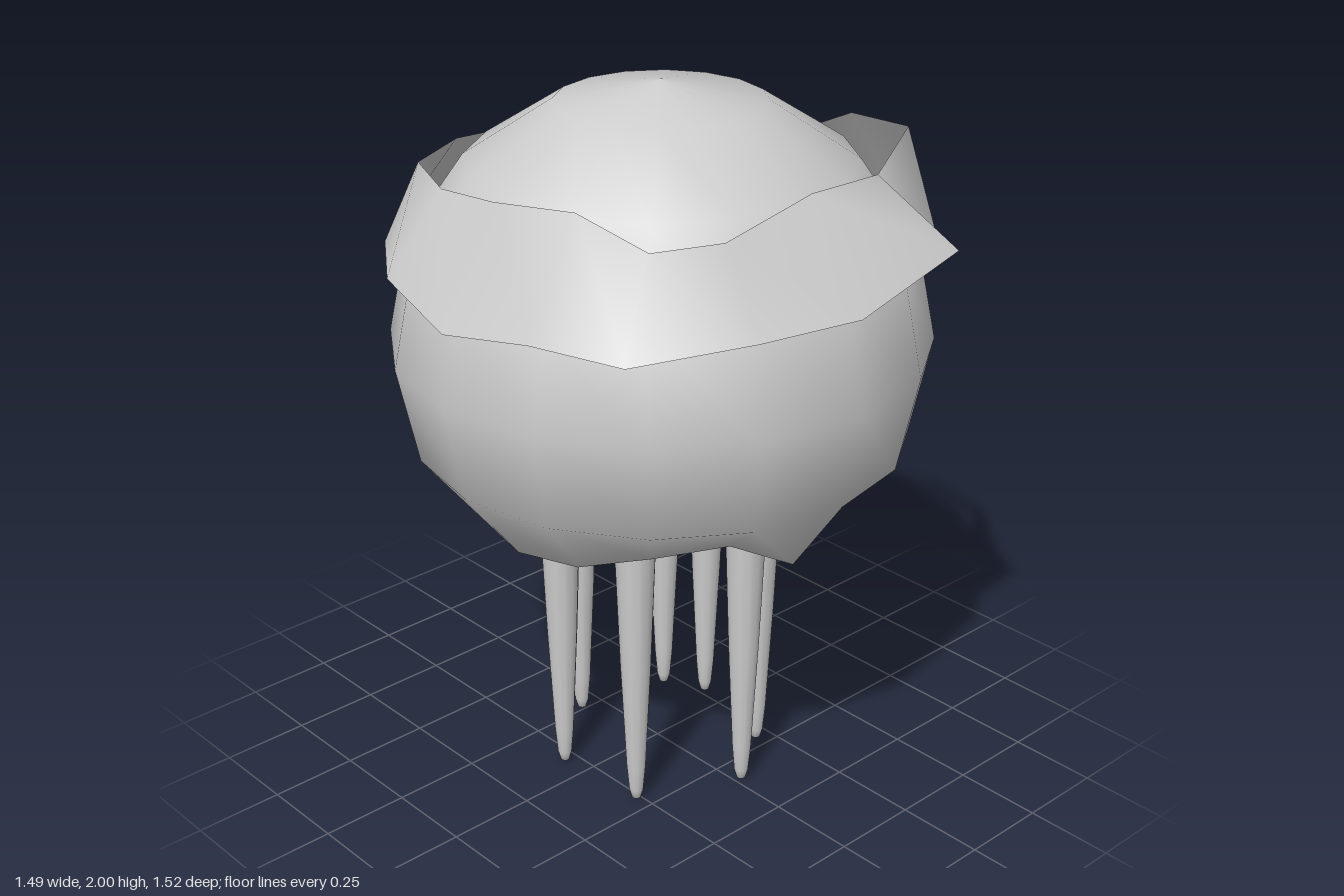
import * as THREE from 'three';

const SIDES = 16;
const CX = -0.015, CZ = 0.03, CY = 1.3;

// Smooth closed band through rings of points, listed from top to bottom
function loft(rings) {
  const index = [];
  for (let i = 0; i < rings.length - 1; i++) {
    for (let j = 0; j < SIDES; j++) {
      const k = (j + 1) % SIDES;
      const a = i * SIDES + j, b = a + SIDES, c = (i + 1) * SIDES + k, d = i * SIDES + k;
      index.push(a, b, c, a, c, d);
    }
  }
  const geometry = new THREE.BufferGeometry();
  geometry.setAttribute('position', new THREE.Float32BufferAttribute(rings.flat(2), 3));
  geometry.setIndex(index);
  geometry.computeVertexNormals();
  return geometry;
}

// Ring around the bell axis; angle 0 faces the front and turns towards +x
function ring(radius, heightAt) {
  return Array.from({ length: SIDES }, (_, j) => {
    const a = (j / SIDES) * Math.PI * 2;
    return [CX + radius * Math.sin(a), heightAt(j), CZ + radius * Math.cos(a)];
  });
}

export function createModel() {
  const model = new THREE.Group();
  model.name = 'jellyfish';
  const skin = new THREE.MeshStandardMaterial({ color: 0xcccccc });
  skin.name = 'pale grey';
  const thinSkin = skin.clone();
  thinSkin.side = THREE.DoubleSide;

  const add = (name, geometry, material = skin, parent = model) => {
    const mesh = new THREE.Mesh(geometry, material);
    mesh.name = name;
    parent.add(mesh);
    return mesh;
  };

  // Bell: a sphere open below with an uneven rim, and an inner wall
  const rim = [0.80, 0.89, 0.86, 0.86, 0.89, 0.86, 0.86, 0.89,
    0.83, 0.85, 0.87, 0.86, 0.82, 0.84, 0.89, 0.91];
  const wall = (inset) => {
    const rings = [];
    for (let i = 0; i <= 5; i++) {
      const t = (i * Math.PI) / 8;
      rings.push(ring((0.73 - inset) * Math.sin(t), () => CY + (0.7 - inset) * Math.cos(t)));
    }
    rings.push(ring(0.51 - inset, (j) => rim[j] + inset * 0.2));
    return rings;
  };
  const outer = wall(0), inner = wall(0.045);
  const bell = new THREE.Group();
  bell.name = 'bell';
  model.add(bell);
  add('bellOuter', loft(outer), skin, bell);
  add('bellInner', loft([...inner].reverse()), skin, bell);
  add('bellRim', loft([outer[6], inner[6]]), skin, bell);

  // Frill: loose, uneven skirt round the upper bell
  const frillTop = [
    [-0.02, 1.83, 0.57], [0.25, 1.81, 0.54], [0.44, 1.88, 0.47], [0.51, 1.845, 0.21],
    [0.53, 1.76, 0.03], [0.50, 1.76, -0.24], [0.39, 1.85, -0.38], [0.24, 1.835, -0.49],
    [-0.02, 1.76, -0.52], [-0.28, 1.78, -0.49], [-0.46, 1.77, -0.42], [-0.53, 1.76, -0.23],
    [-0.57, 1.80, 0.03], [-0.53, 1.83, 0.29], [-0.46, 1.76, 0.47], [-0.28, 1.76, 0.54],
  ];
  const frillBottom = [
    [-0.01, 1.55, 0.74], [0.34, 1.64, 0.74], [0.50, 1.55, 0.55], [0.66, 1.55, 0.30],
    [0.74, 1.49, 0.03], [0.67, 1.55, -0.25], [0.50, 1.55, -0.49], [0.26, 1.59, -0.65],
    [-0.02, 1.55, -0.76], [-0.30, 1.57, -0.65], [-0.53, 1.55, -0.49], [-0.69, 1.55, -0.26],
    [-0.74, 1.50, 0.03], [-0.69, 1.54, 0.30], [-0.60, 1.53, 0.54], [-0.30, 1.55, 0.68],
  ];
  add('frill', loft([frillTop, frillBottom]), thinSkin);

  // Tentacles: tapered, round at both ends
  const profile = [[0, 0.005], [0.012, 0.012], [0.02, 0.04], [0.027, 0.12], [0.043, 0.45],
    [0.06, 0.9], [0.06, 0.98], [0.045, 1.04], [0.025, 1.065], [0, 1.075]]
    .map(([x, y]) => new THREE.Vector2(x, y));
  const tentacle = new THREE.LatheGeometry(profile, 12);
  const spots = [[0.20, 0.21], [0.02, 0.33], [0.27, -0.08], [0.285, 0.06],
    [0.21, -0.20], [-0.07, -0.26], [-0.265, 0.20], [-0.29, -0.08]];
  spots.forEach(([x, z], i) => {
    add(`tentacle${i + 1}`, tentacle).position.set(x, 0, z);
  });

  return model;
}
